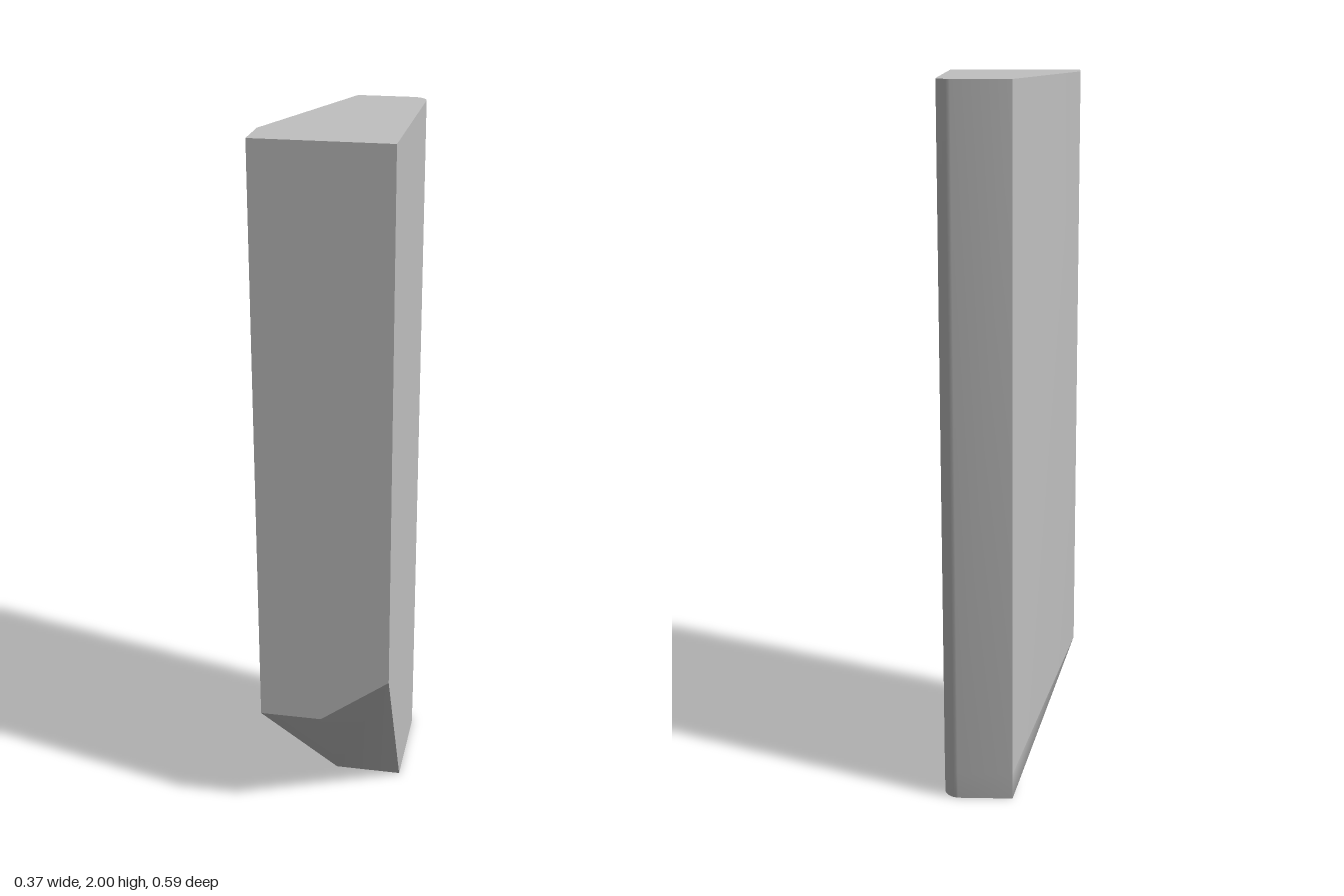
import * as THREE from 'three';
import { toCreasedNormals, mergeVertices } from 'three/addons/utils/BufferGeometryUtils.js';

const V = (x, y, z) => new THREE.Vector3(x, y, z);

// Fans each polygon (counter-clockwise from outside) into triangles
function fromPolygons(polygons) {
  const points = [];
  for (const p of polygons) {
    for (let i = 1; i < p.length - 1; i++) points.push(p[0], p[i], p[i + 1]);
  }
  return new THREE.BufferGeometry().setFromPoints(points);
}

export function createModel() {
  const group = new THREE.Group();
  group.name = 'taperedPost';
  const grey = new THREE.MeshStandardMaterial({ color: 0xc0c0c0 });
  grey.name = 'plain grey';

  // Lower rim of the upright walls, from the front corner at +x round to the back
  const low = [
    V(0.185, 0.49, 0.293), V(-0.01, 0.345, 0.293), V(-0.185, 0.345, 0.293),
    V(-0.185, 0.3, 0.173), V(-0.01, 0.08, -0.293),
  ];
  // Rounded back corner
  const segments = 12, radius = 0.045;
  for (let i = 0; i <= segments; i++) {
    const a = (i / segments) * Math.PI / 2;
    low.push(V(0.14 + radius * Math.sin(a), 0.08, -0.248 - radius * Math.cos(a)));
  }
  const last = low.length - 1;
  const top = low.map(p => V(p.x, 2, p.z));

  // Foot outline, tucked in slightly at the back
  const footRight = V(0.185, 0, 0.04), footLeft = V(-0.01, 0, 0.04);
  const back = low.slice(4).map(p => V(p.x, 0, p.z + 0.008));

  // Upright walls
  const walls = [];
  for (let i = 0; i < last; i++) walls.push([top[i], top[i + 1], low[i + 1], low[i]]);
  for (let i = 0; i < back.length - 1; i++) {
    walls.push([low[i + 4], low[i + 5], back[i + 1], back[i]]);
  }
  walls.push([top[last], top[0], low[0], footRight, back[back.length - 1], low[last]]);

  // Sloping cut under the front and the slanted side, softly shaded
  const under = [
    [low[0], low[1], footLeft, footRight],
    [low[1], low[2], footLeft],
    [low[2], low[3], footLeft],
    [low[3], low[4], back[0]],
    [low[3], back[0], footLeft],
  ];
  const cut = mergeVertices(fromPolygons(under));
  cut.computeVertexNormals();

  const add = (name, geometry) => {
    const mesh = new THREE.Mesh(geometry, grey);
    mesh.name = name;
    group.add(mesh);
  };
  const flat = polygons => toCreasedNormals(fromPolygons(polygons), 0.4);
  add('walls', flat(walls));
  add('slopingCut', cut);
  add('topFace', flat([[...top].reverse()]));
  add('footFace', flat([[footRight, footLeft, ...back]]));
  return group;
}
